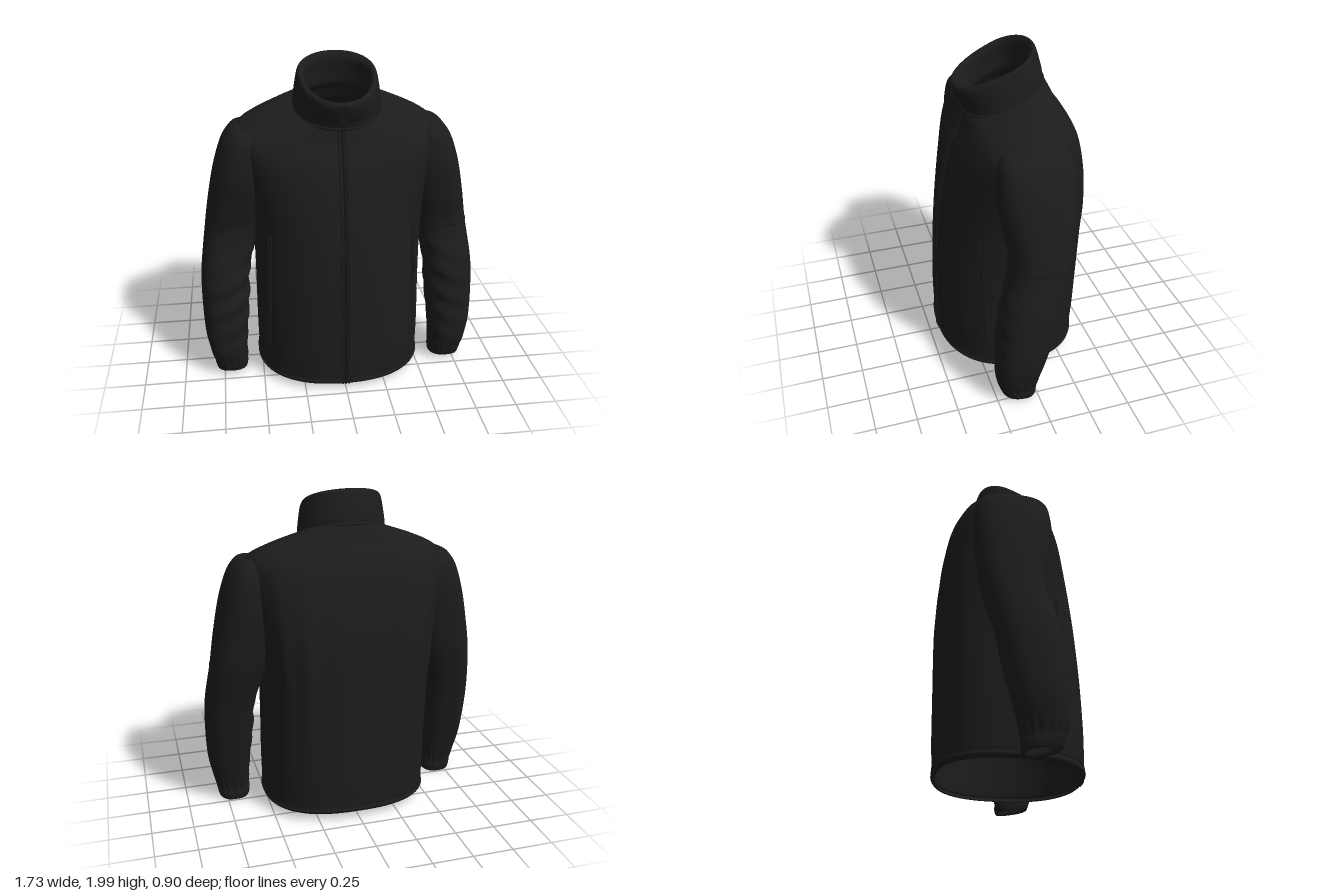
import * as THREE from 'three';

const fabric = new THREE.MeshStandardMaterial({ color: 0x1c1c1c, side: THREE.DoubleSide });
fabric.name = 'black fleece';
const trim = new THREE.MeshStandardMaterial({ color: 0x151515 });
trim.name = 'dark trim';

// Ring: [y, centre x, centre z, half width, front depth, back depth, forward tilt, front squareness, back squareness]
function ringAt(rings, t) {
  const last = rings.length - 1;
  const i = Math.min(Math.floor(t), last - 1), f = t - i;
  const [a, b, c, d] = [-1, 0, 1, 2].map(k => rings[Math.min(Math.max(i + k, 0), last)]);
  return b.map((_, k) => b[k] + 0.5 * f * (c[k] - a[k] + f * (2 * a[k] - 5 * b[k] + 4 * c[k] - d[k]
    + f * (3 * (b[k] - c[k]) + d[k] - a[k]))));
}

// Point on a lofted surface; fold() returns an outward displacement
function surfacePoint(rings, t, angle, fold) {
  const [y, cx, cz, rx, zf, zb, tilt, nf, nb] = ringAt(rings, t);
  const c = Math.cos(angle), s = Math.sin(angle), n = s > 0 ? nf : nb;
  const dx = rx * Math.sign(c) * Math.abs(c) ** (2 / n);
  const dz = (s > 0 ? zf : zb) * Math.sign(s) * Math.abs(s) ** (2 / n);
  const push = fold ? fold(y, angle) : 0;
  const z = cz + dz;
  return new THREE.Vector3(cx + dx + push * c, y - tilt * z, z + push * s);
}

// Is a point well inside a loft whose rings rise from index first upward?
function inside(rings, first, { x, y, z }) {
  const height = t => { const r = ringAt(rings, t); return r[0] - r[6] * z; };
  let lo = first, hi = rings.length - 1;
  if (y < height(lo) || y > height(hi)) return false;
  for (let i = 0; i < 14; i++) {
    const mid = (lo + hi) / 2;
    if (height(mid) < y) lo = mid; else hi = mid;
  }
  const [, cx, cz, rx, zf, zb, , nf, nb] = ringAt(rings, lo);
  const n = z > cz ? nf : nb;
  return (Math.abs(x - cx) / rx) ** n + (Math.abs(z - cz) / (z > cz ? zf : zb)) ** n < 0.95;
}

// Skin over the rings; faces wholly within the cut are left out
function loft(name, rings, { fold, cut, steps = 6, around = 112 } = {}) {
  const pos = [], hidden = [], index = [], rows = (rings.length - 1) * steps;
  for (let i = 0; i <= rows; i++) {
    for (let j = 0; j < around; j++) {
      const p = surfacePoint(rings, i / steps, j / around * Math.PI * 2, fold);
      pos.push(p.x, p.y, p.z);
      hidden.push(cut ? cut(p) : false);
    }
  }
  for (let i = 0; i < rows; i++) {
    for (let j = 0; j < around; j++) {
      const a = i * around + j, b = i * around + (j + 1) % around;
      if ([a, b, a + around, b + around].every(k => hidden[k])) continue;
      index.push(a, a + around, b, b, a + around, b + around);
    }
  }
  const g = new THREE.BufferGeometry();
  g.setAttribute('position', new THREE.Float32BufferAttribute(pos, 3));
  g.setIndex(index);
  g.computeVertexNormals();
  const m = new THREE.Mesh(g, fabric);
  m.name = name;
  return m;
}

function cord(name, points, radius, material = trim, closed = false) {
  const curve = new THREE.CatmullRomCurve3(points, closed);
  const m = new THREE.Mesh(new THREE.TubeGeometry(curve, 100, radius, 6, closed), material);
  m.name = name;
  return m;
}

function box(name, w, h, d, x, y, z) {
  const m = new THREE.Mesh(new THREE.BoxGeometry(w, h, d), trim);
  m.name = name;
  m.position.set(x, y, z);
  return m;
}

const range = (n, f) => Array.from({ length: n + 1 }, (_, i) => f(i / n));
const bump = (y, mid, width) => Math.exp(-(((y - mid) / width) ** 2));

// Body outside, hem to neck
const body = [
  [0.045, 0, 0, 0.512, 0.437, 0.422, 0.02, 2.3, 2.5],
  [0.065, 0, 0, 0.525, 0.45, 0.435, 0.02, 2.3, 2.5],
  [0.095, 0, 0, 0.518, 0.443, 0.429, 0.02, 2.3, 2.5],
  [0.3, 0, 0, 0.52, 0.445, 0.438, 0, 2.3, 2.6],
  [0.6, 0, 0, 0.518, 0.437, 0.44, 0, 2.2, 2.8],
  [0.85, 0, 0, 0.52, 0.42, 0.442, 0, 2.15, 3],
  [1.05, 0, 0, 0.527, 0.397, 0.44, 0, 2.2, 3.4],
  [1.25, 0, 0, 0.55, 0.362, 0.425, 0.05, 2.4, 3.5],
  [1.45, 0, 0, 0.59, 0.318, 0.385, 0.12, 2.6, 3.2],
  [1.56, 0, 0, 0.612, 0.275, 0.335, 0.2, 2.6, 2.7],
  [1.625, 0, 0, 0.55, 0.252, 0.285, 0.25, 2.4, 2.4],
  [1.68, 0, 0, 0.42, 0.24, 0.258, 0.31, 2.2, 2.2],
  [1.725, 0, 0, 0.265, 0.225, 0.235, 0.36, 2.1, 2.1],
];
const lining = body.map(([y, x, z, a, b, c, ...rest]) =>
  [y - (y > 1.5 ? 0.01 : 0), x, z, a - 0.014, b - 0.014, c - 0.014, ...rest]).reverse();

// Long soft folds down the back
const bodyFold = (y, a) => {
  const back = Math.max(0, -Math.sin(a));
  return back * bump(y, 0.95, 0.5) * 0.007 * Math.sin(a * 17 + y * 2);
};

const collar = [
  [1.69, 0, 0, 0.235, 0.205, 0.205, 0.36, 2.1],
  [1.74, 0, 0, 0.205, 0.195, 0.17, 0.37, 2.1],
  [1.82, 0, 0, 0.2, 0.225, 0.16, 0.4, 2.1],
  [1.89, 0, 0, 0.195, 0.255, 0.15, 0.43, 2.1],
  [1.92, 0, 0, 0.215, 0.278, 0.17, 0.435, 2.1],
  [1.902, 0, 0, 0.236, 0.295, 0.19, 0.435, 2.1],
  [1.82, 0, 0, 0.252, 0.272, 0.215, 0.4, 2.1],
  [1.76, 0, 0, 0.26, 0.248, 0.23, 0.37, 2.1],
  [1.695, 0, 0, 0.266, 0.232, 0.236, 0.36, 2.1],
].map(r => [...r, 2.1]);

// Sleeve from inside the cuff, round its lip and up to the shoulder: [y, x, z, half width, half depth, tilt]
const sleeveRings = side => [
  [0.16, 0.7, 0.12, 0.085, 0.095, -0.15], [0.03, 0.7, 0.115, 0.08, 0.09, -0.15],
  [0.005, 0.7, 0.11, 0.094, 0.1, -0.15], [0.04, 0.702, 0.112, 0.103, 0.112, -0.15],
  [0.09, 0.706, 0.118, 0.104, 0.116, -0.1], [0.17, 0.714, 0.115, 0.116, 0.132, 0],
  [0.3, 0.722, 0.1, 0.133, 0.15, 0], [0.5, 0.717, 0.07, 0.147, 0.17, 0], [0.7, 0.708, 0.035, 0.151, 0.177, 0],
  [0.95, 0.657, -0.03, 0.168, 0.178, 0], [1.15, 0.615, -0.03, 0.178, 0.205, 0],
  [1.35, 0.583, -0.025, 0.168, 0.228, 0], [1.5, 0.568, -0.025, 0.134, 0.218, 0.02],
  [1.57, 0.56, -0.02, 0.098, 0.19, 0.04], [1.6, 0.56, -0.02, 0.06, 0.14, 0.05],
  [1.61, 0.56, -0.02, 0.001, 0.001, 0.05],
].map(([y, x, z, a, d, tilt]) => [y, x * side, z, a, d, d, tilt, 2.4, 2.6]);

// Elastic gathers at the cuff and creases through the forearm
const sleeveFold = side => (y, a) => {
  const front = Math.max(0, Math.sin(a) * 0.75 - Math.cos(a) * side * 0.6);
  return 0.005 * bump(y, 0.11, 0.05) * Math.sin(18 * a)
    + 0.01 * front * bump(y, 0.55, 0.3) * Math.sin(y * 42 + 3 * Math.cos(a) * side);
};

export function createModel() {
  const jacket = new THREE.Group();
  jacket.name = 'jacket';
  // The body is open at the armholes
  const arm = sleeveRings(1);
  const inArm = p => inside(arm, 3, new THREE.Vector3(Math.abs(p.x), p.y, p.z));
  jacket.add(loft('body', [...lining, ...body], { fold: bodyFold, cut: inArm }), loft('collar', collar));

  // Stitched seams round the hem and collar base
  const loop = (rings, t, fold) => range(47, u => surfacePoint(rings, t, u * Math.PI * 2 * 47 / 48, fold));
  jacket.add(cord('hemSeam', loop(body, 2), 0.003, trim, true));
  jacket.add(cord('collarSeam', loop(collar, 7.6), 0.01, fabric, true));

  // Front zip runs up the body and the collar
  const zipLine = x => [
    ...range(16, u => surfacePoint(body, u * 11, Math.PI / 2)),
    ...range(4, u => surfacePoint(collar, 7.6 - u * 2.6, Math.PI / 2)),
  ].map(p => p.setX(x));
  for (const x of [-0.02, 0.02]) jacket.add(cord('zipPlacket', zipLine(x), 0.007, fabric));
  jacket.add(cord('zipTeeth', zipLine(0), 0.007));
  jacket.add(box('zipSlider', 0.022, 0.04, 0.022, 0, 1.765, 0.29));
  jacket.add(box('zipPull', 0.026, 0.07, 0.009, 0, 1.715, 0.3));

  for (const side of [1, -1]) {
    const label = side > 0 ? 'left' : 'right';
    const rings = sleeveRings(side), fold = sleeveFold(side);
    jacket.add(loft(label + 'Sleeve', rings, { fold, cut: p => inside(body, 0, p), steps: 8, around: 80 }));

    // Pocket zip between two welts
    const pocket = shift => range(14, u => {
      const a = 0.52 + 0.1 * u + shift;
      return surfacePoint(body, 2.8 + u * 2.95, side > 0 ? a : Math.PI - a);
    });
    for (const s of [-0.03, 0.03]) jacket.add(cord(label + 'PocketWelt', pocket(s), 0.005, fabric));
    jacket.add(cord(label + 'PocketZip', pocket(0), 0.004));
    const top = pocket(0)[8];
    jacket.add(box(label + 'PocketPull', 0.018, 0.07, 0.014, top.x + side * 0.004, top.y, top.z + 0.006));

    // Upper arm seam on the left sleeve only
    if (side > 0) jacket.add(cord('armSeam', loop(rings, 9, fold), 0.004, trim, true));
  }
  return jacket;
}
